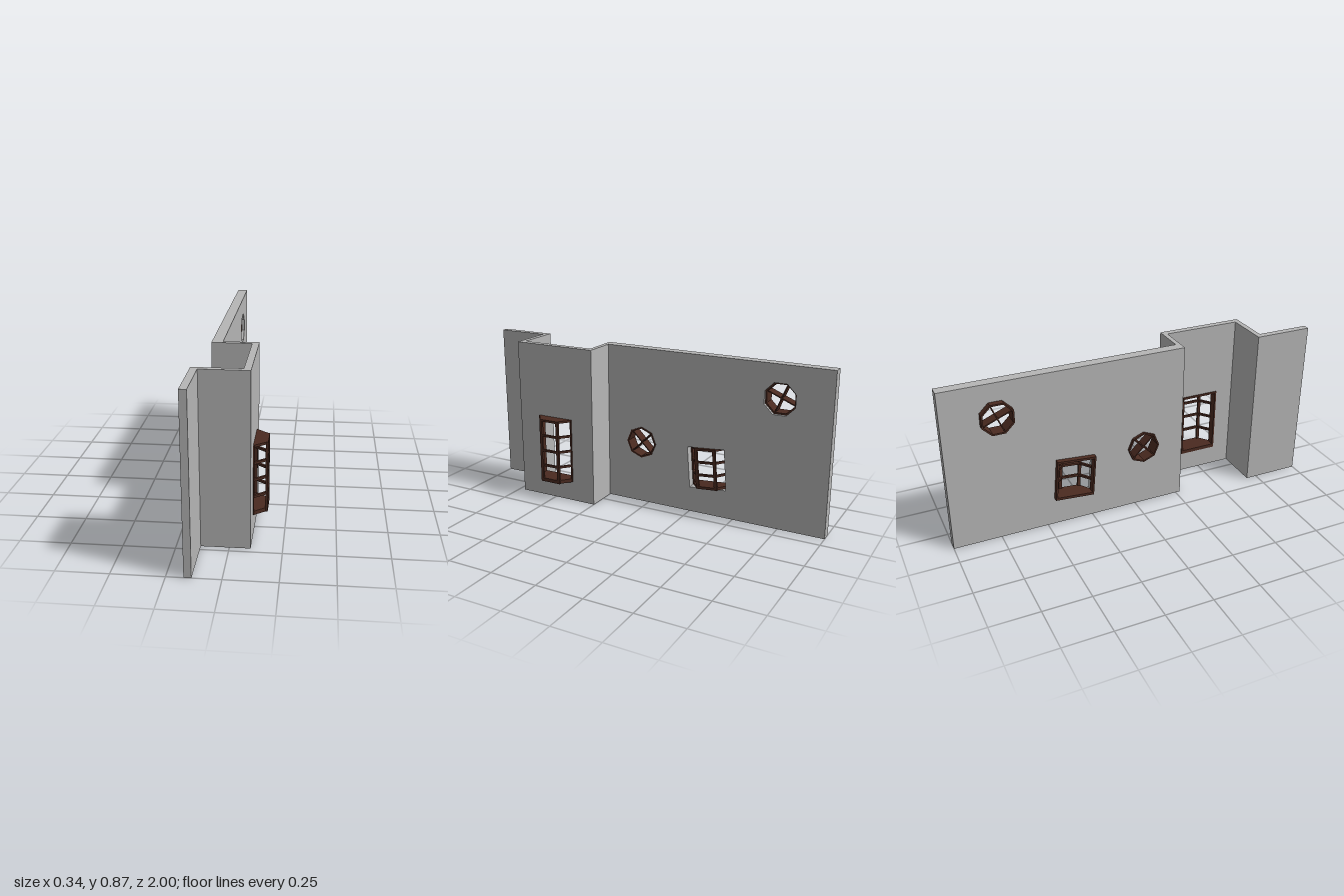
import * as THREE from 'three';

const H = 0.87;
const wallMat = new THREE.MeshStandardMaterial({ color: 0xb6b6b6 });
wallMat.name = 'wall grey';
const woodMat = new THREE.MeshStandardMaterial({ color: 0x4a2a20 });
woodMat.name = 'dark wood';

function add(parent, name, geometry, material) {
  const mesh = new THREE.Mesh(geometry, material);
  mesh.name = name;
  parent.add(mesh);
  return mesh;
}

// Box given by its lower and upper limits
function block(x0, x1, y0, y1, z0, z1) {
  return new THREE.BoxGeometry(x1 - x0, y1 - y0, z1 - z0)
    .translate((x0 + x1) / 2, (y0 + y1) / 2, (z0 + z1) / 2);
}

// Outline points [u, y], where u = -z, extruded along x
const toPoints = (list) => list.map(([u, y]) => new THREE.Vector2(u, y));
function slab(outline, holes, x0, x1) {
  const shape = new THREE.Shape(toPoints(outline));
  for (const hole of holes) shape.holes.push(new THREE.Path(toPoints(hole)));
  return new THREE.ExtrudeGeometry(shape, { depth: x1 - x0, bevelEnabled: false })
    .rotateY(Math.PI / 2).translate(x0, 0, 0);
}

const rect = (u0, u1, y0, y1) => [[u0, y0], [u1, y0], [u1, y1], [u0, y1]];
const octagon = (r, turn) => Array.from({ length: 8 }, (_, i) => {
  const a = turn + i * Math.PI / 4;
  return [r * Math.cos(a), r * Math.sin(a)];
});
const place = (points, u, y, turn = 0) => points.map(([a, b]) => [
  u + a * Math.cos(turn) - b * Math.sin(turn),
  y + a * Math.sin(turn) + b * Math.cos(turn)]);

// Octagonal frame with two crossed boards
function roundWindow(name, r, turn, x0, x1) {
  const group = new THREE.Group();
  group.name = name;
  add(group, 'octagonFrame', slab(octagon(r, turn), [octagon(r - 0.009, turn)], x0, x1), woodMat);
  for (let i = 0; i < 2; i++) {
    const board = add(group, 'crossBoard',
      block(x0 + 0.008, x1 - 0.008, -0.003, 0.003, -r + 0.005, r - 0.005), woodMat);
    board.rotation.x = turn + Math.PI / 4 + i * Math.PI / 2;
  }
  return group;
}

// Bar between two plan points [x, z], centred at height y
function bar(parent, name, a, b, y, height, thick) {
  const dx = b[0] - a[0], dz = b[1] - a[1];
  const mesh = add(parent, name,
    new THREE.BoxGeometry(Math.hypot(dx, dz), height, thick), woodMat);
  mesh.position.set((a[0] + b[0]) / 2, y, (a[1] + b[1]) / 2);
  mesh.rotation.y = -Math.atan2(dz, dx);
}

// Bay window: straight jambs, then a three-sided glazing grid
function bayWindow(name, w, h, rows, frontW, neck, depth, sill) {
  const group = new THREE.Group();
  group.name = name;
  const t = 0.012, half = w / 2, f = frontW / 2;
  const plan = [[0, -half], [neck, -half], [depth, -f], [depth, f], [neck, half], [0, half]];
  const plate = (height) => new THREE.ExtrudeGeometry(new THREE.Shape(toPoints(plan)),
    { depth: height, bevelEnabled: false }).rotateX(Math.PI / 2);
  add(group, 'head', plate(t), woodMat).position.y = h / 2;
  add(group, 'sill', plate(sill), woodMat).position.y = -h / 2 + sill;
  // Glazing line, set in by half a bar
  const i = t / 2;
  const line = [[neck, -half + i], [depth - i, -f + 0.002], [depth - i, f - 0.002], [neck, half - i]];
  for (let r = 1; r < rows; r++) {
    const y = -h / 2 + sill / 2 + (h - sill / 2 - i) * r / rows;
    for (let k = 0; k < 3; k++) bar(group, 'glazingBar', line[k], line[k + 1], y, t, t);
  }
  for (const s of [-1, 1]) {
    const z0 = s * half, z1 = s * (half - 0.009);
    add(group, 'jamb', block(0, neck + 0.004, -h / 2, h / 2,
      Math.min(z0, z1), Math.max(z0, z1)), woodMat);
    add(group, 'cornerPost', block(depth - t, depth, -h / 2, h / 2,
      s * f - 0.008, s * f + 0.008), woodMat);
  }
  return group;
}

export function createModel() {
  const model = new THREE.Group();
  const tilt = 0.08, R = 0.088;
  const turnA = 0, turnB = Math.PI / 8;

  // Folded wall
  const longHoles = [
    place(octagon(R, turnA), -0.045, 0.345),
    place(octagon(R, turnB), 0.728, 0.692),
    place(rect(-0.105, 0.105, -0.113, 0.113), 0.345, 0.26, tilt),
  ];
  add(model, 'longWall', slab(rect(-0.25, 1, 0, H), longHoles, -0.133, -0.078), wallMat);
  add(model, 'rearReturn', block(-0.133, 0.1, 0, H, 0.25, 0.275), wallMat);
  add(model, 'bayWall', slab(rect(-0.69, -0.275, 0, H),
    [rect(-0.593, -0.383, 0.11, 0.47)], 0.066, 0.1), wallMat);
  add(model, 'frontReturn', block(-0.17, 0.1, 0, H, 0.69, 0.718), wallMat);
  add(model, 'frontWall', block(-0.17, -0.135, 0, H, 0.718, 1), wallMat);

  // Octagonal windows
  const low = roundWindow('lowerRoundWindow', R, turnA, -0.147, -0.074);
  low.position.set(0, 0.345, 0.045);
  const high = roundWindow('upperRoundWindow', R, turnB, -0.165, -0.093);
  high.position.set(0, 0.692, -0.728);

  // Bay windows
  const tall = bayWindow('tallBayWindow', 0.21, 0.36, 4, 0.104, 0.04, 0.106, 0.02);
  tall.position.set(0.061, 0.29, 0.488);
  const small = bayWindow('tiltedBayWindow', 0.21, 0.226, 3, 0.104, 0.035, 0.097, 0.014);
  small.position.set(-0.16, 0.26, -0.345);
  small.rotation.x = tilt;

  model.add(low, high, tall, small);
  return model;
}
